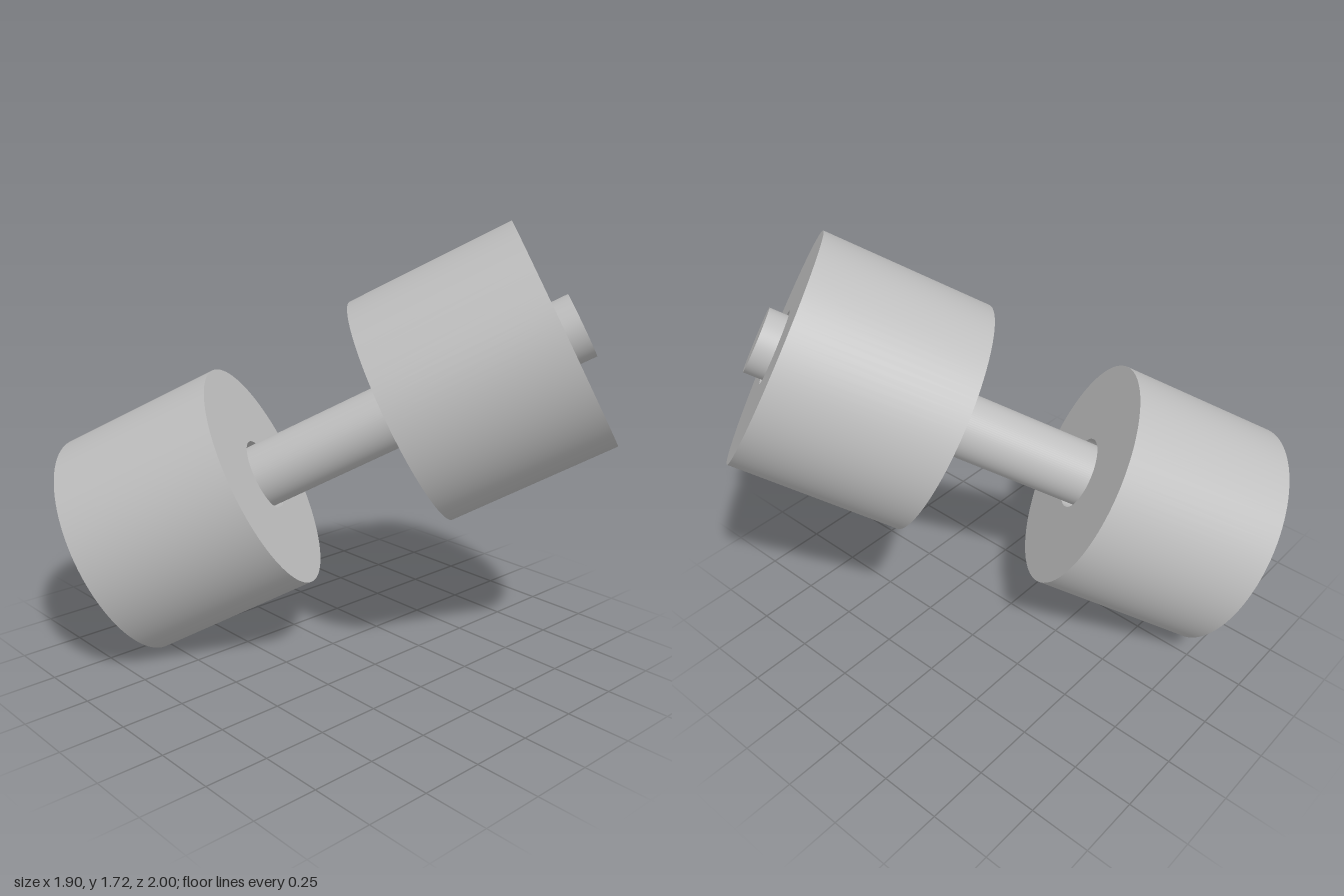
import * as THREE from 'three';
import { mergeGeometries } from 'three/addons/utils/BufferGeometryUtils.js';

const SEGMENTS = 96;
const WEIGHT = { radius: 0.463, hole: 0.146, length: 0.674, offset: 0.6425 };
const ROD = { radius: 0.128, length: 2.1 };

// Thick tube: each side of the closed profile is turned separately to keep its edges sharp
function tubeGeometry(outer, inner, length) {
  const h = length / 2;
  const profile = [[inner, -h], [outer, -h], [outer, h], [inner, h]].map(([r, y]) => new THREE.Vector2(r, y));
  return mergeGeometries(profile.map((p, i) =>
    new THREE.LatheGeometry([p, profile[(i + 1) % profile.length]], SEGMENTS)));
}

export function createModel() {
  const grey = new THREE.MeshStandardMaterial({ color: 0xbfbfbf });
  grey.name = 'grey';

  const model = new THREE.Group();
  model.name = 'dumbbell';

  // Bar through both weights, its ends standing slightly proud
  const bar = new THREE.Mesh(new THREE.CylinderGeometry(ROD.radius, ROD.radius, ROD.length, SEGMENTS), grey);
  bar.name = 'bar';
  model.add(bar);

  // Drilled weights, loose on the bar
  const weightGeometry = tubeGeometry(WEIGHT.radius, WEIGHT.hole, WEIGHT.length);
  for (const [name, side] of [['upperWeight', 1], ['lowerWeight', -1]]) {
    const weight = new THREE.Mesh(weightGeometry, grey);
    weight.name = name;
    weight.position.y = side * WEIGHT.offset;
    model.add(weight);
  }

  // Tilt the whole along its diagonal axis, lowest rim on the ground
  const axis = new THREE.Vector3(0.588, 0.459, 0.666).normalize();
  model.quaternion.setFromUnitVectors(new THREE.Vector3(0, 1, 0), axis);
  model.position.y = axis.y * (WEIGHT.offset + WEIGHT.length / 2)
    + WEIGHT.radius * Math.sqrt(1 - axis.y * axis.y);

  const root = new THREE.Group();
  root.add(model);
  return root;
}
